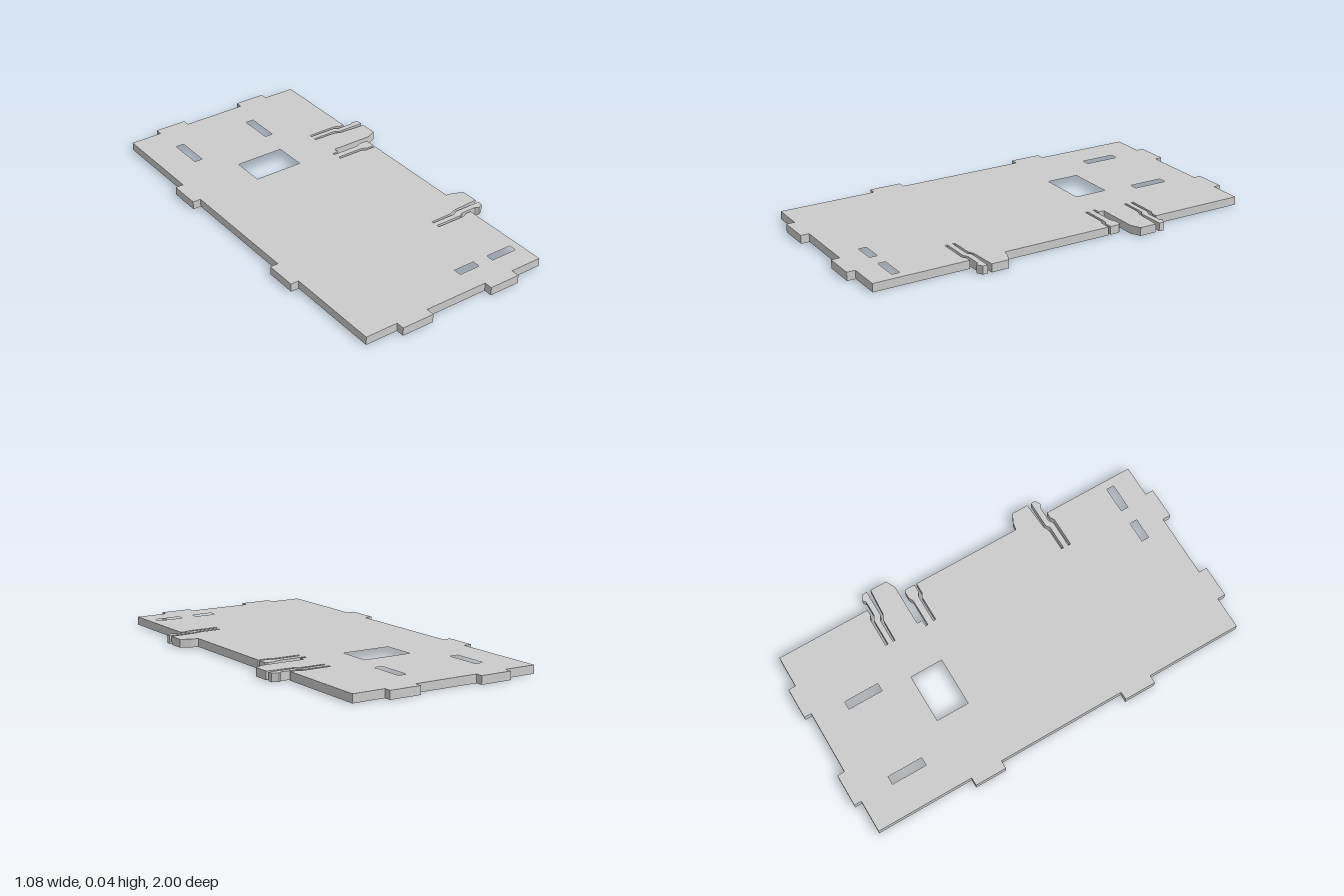
import * as THREE from 'three';

const THICKNESS = 0.04;
const v = ([x, z]) => new THREE.Vector2(x, -z); // plan (x, z) to shape plane

// Snap clip on the right edge, from the corner beside the slit to the tab root (z > 0 side)
const clip = [
  [0.455, 0.495], [0.425, 0.495], [0.405, 0.507], [0.257, 0.507],   // outer slit
  [0.257, 0.494], [0.395, 0.494], [0.415, 0.481], [0.495, 0.481],   // springy arm
  [0.51, 0.493], [0.537, 0.478], [0.537, 0.454], [0.40, 0.454],     // hook
  [0.38, 0.468], [0.257, 0.468], [0.257, 0.457], [0.37, 0.455],     // inner slit
  [0.40, 0.442], [0.537, 0.434], [0.537, 0.349], [0.49, 0.326],     // solid tab
];

// Short latch arm beside the rear clip
const latch = [
  [0.278, -0.326], [0.278, -0.298], [0.246, -0.298], [0.246, -0.286],
  [0.385, -0.286], [0.41, -0.298], [0.445, -0.298], [0.455, -0.288],
  [0.455, -0.241], [0.417, -0.241], [0.39, -0.254], [0.25, -0.254],
  [0.25, -0.241], [0.38, -0.241], [0.40, -0.23], [0.455, -0.23],
];

// Tabs on the two ends, listed left to right
function endEdge(body, tip) {
  return [
    [-0.5, body], [-0.34, body], [-0.34, tip], [-0.18, tip], [-0.18, body],
    [0.14, body], [0.14, tip], [0.295, tip], [0.295, body], [0.455, body],
  ];
}

// Tab on the left edge between two z positions
const sideTab = (a, b) => [[-0.5, a], [-0.54, a], [-0.54, b], [-0.5, b]];

function rectHole(x0, x1, z0, z1) {
  return new THREE.Path([[x0, z0], [x1, z0], [x1, z1], [x0, z1]].map(v));
}

export function createModel() {
  const group = new THREE.Group();
  group.name = 'slottedPanel';

  // Outline: rear end, right edge, front end, left edge
  const outline = [
    ...endEdge(-0.964, -1),
    ...clip.map(([x, z]) => [x, -z]),
    ...latch,
    [0.455, 0.32],
    ...clip.slice().reverse(),
    ...endEdge(0.959, 1).reverse(),
    ...sideTab(0.477, 0.318),
    ...sideTab(-0.325, -0.482),
  ];
  const shape = new THREE.Shape(outline.map(v));

  // Window and slots
  shape.holes.push(
    rectHole(-0.185, 0.06, -0.482, -0.318),
    rectHole(-0.343, -0.302, -0.805, -0.63),
    rectHole(0.07, 0.111, -0.805, -0.63),
    rectHole(0.095, 0.202, 0.81, 0.848),
    rectHole(0.28, 0.413, 0.81, 0.848),
  );

  const geometry = new THREE.ExtrudeGeometry(shape, { depth: THICKNESS, bevelEnabled: false });
  geometry.rotateX(-Math.PI / 2);
  const panel = new THREE.Mesh(
    geometry,
    new THREE.MeshStandardMaterial({ color: 0xcccccc, flatShading: true }),
  );
  panel.name = 'panel';
  group.add(panel);
  return group;
}
